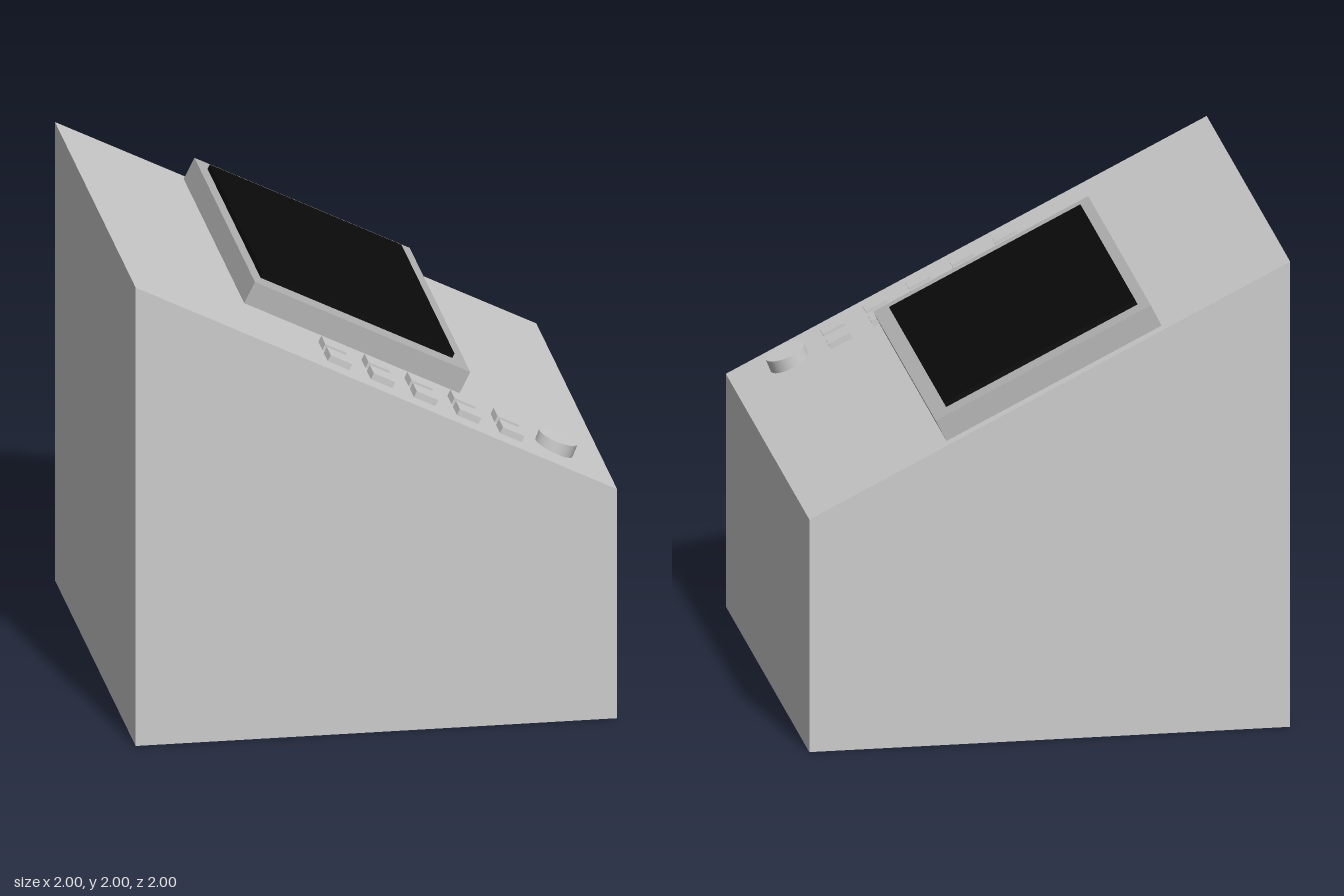
import * as THREE from 'three';

const grey = new THREE.MeshStandardMaterial({ color: 0xcccccc });
const darkGrey = new THREE.MeshStandardMaterial({ color: 0xb4b4b4 });
const black = new THREE.MeshStandardMaterial({ color: 0x0a0a0a });

function part(parent, name, geometry, material, x, y, z) {
  const mesh = new THREE.Mesh(geometry, material);
  mesh.name = name;
  mesh.position.set(x, y, z);
  parent.add(mesh);
  return mesh;
}

export function createModel() {
  const model = new THREE.Group();
  model.name = 'console';

  // Wedge-topped cabinet
  const profile = new THREE.Shape([[-1, 0], [1, 0], [1, 1], [-1, 2]].map(p => new THREE.Vector2(...p)));
  part(model, 'cabinet', new THREE.ExtrudeGeometry(profile, { depth: 2, bevelEnabled: false }), grey, 0, 0, -1);

  // Sloping panel frame: x runs down the slope, y points out of it
  const panel = new THREE.Group();
  panel.name = 'controlPanel';
  panel.position.y = 1.5;
  panel.rotation.z = -Math.atan(0.5);
  model.add(panel);

  // Screen in its raised housing
  part(panel, 'screenHousing', new THREE.BoxGeometry(1, 0.1, 1.5), darkGrey, -0.03, 0.051, -0.2);
  part(panel, 'screen', new THREE.BoxGeometry(0.89, 0.04, 1.315), black, -0.04, 0.102, -0.2075);

  // Two rows of five buttons, slightly sunk into the panel
  const buttonGeometry = new THREE.BoxGeometry(0.1, 0.04, 0.1);
  for (let i = 0; i < 5; i++) {
    for (const z of [0.71, 0.845]) {
      part(panel, 'button', buttonGeometry, grey, -0.156 + i * 0.2, 0.008, z);
    }
  }

  // Round knob, tilted a little less than the panel
  const knob = part(model, 'knob', new THREE.CylinderGeometry(0.085, 0.085, 0.08, 32), grey, 0.78, 1.121, 0.77);
  knob.rotation.z = THREE.MathUtils.degToRad(-22);

  return model;
}
